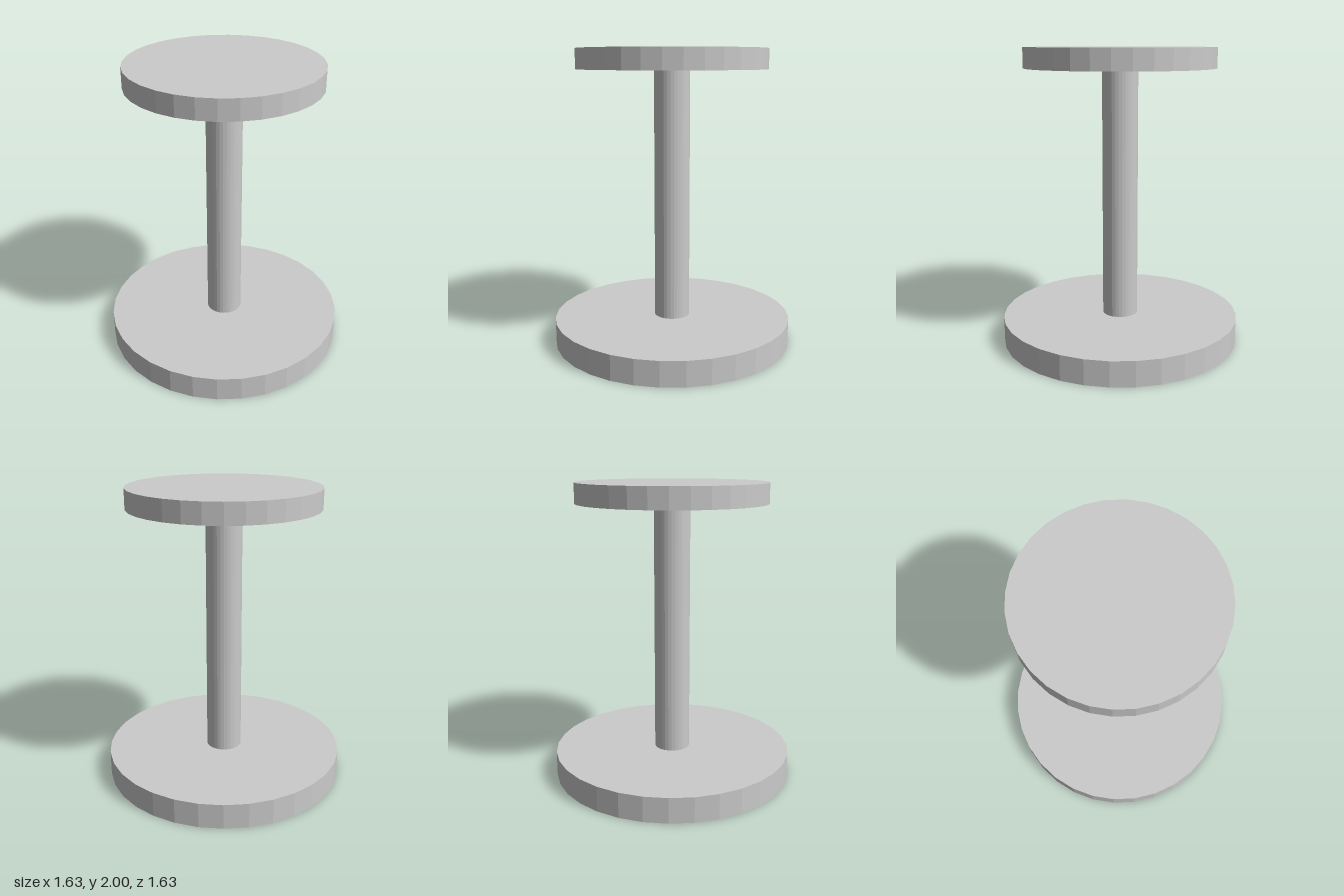
import * as THREE from 'three';

const SIDES = 32;

export function createModel() {
  const group = new THREE.Group();
  const material = new THREE.MeshStandardMaterial({ color: 0xcccccc, flatShading: true });

  // Upright cylinder spanning bottom to top
  function addDisc(name, radius, bottom, top) {
    const geometry = new THREE.CylinderGeometry(radius, radius, top - bottom, SIDES);
    const mesh = new THREE.Mesh(geometry, material);
    mesh.name = name;
    mesh.position.y = (bottom + top) / 2;
    group.add(mesh);
  }

  addDisc('base', 0.813, 0, 0.17);
  addDisc('column', 0.12, 0.17, 1.865);
  addDisc('top', 0.635, 1.865, 2);

  return group;
}
